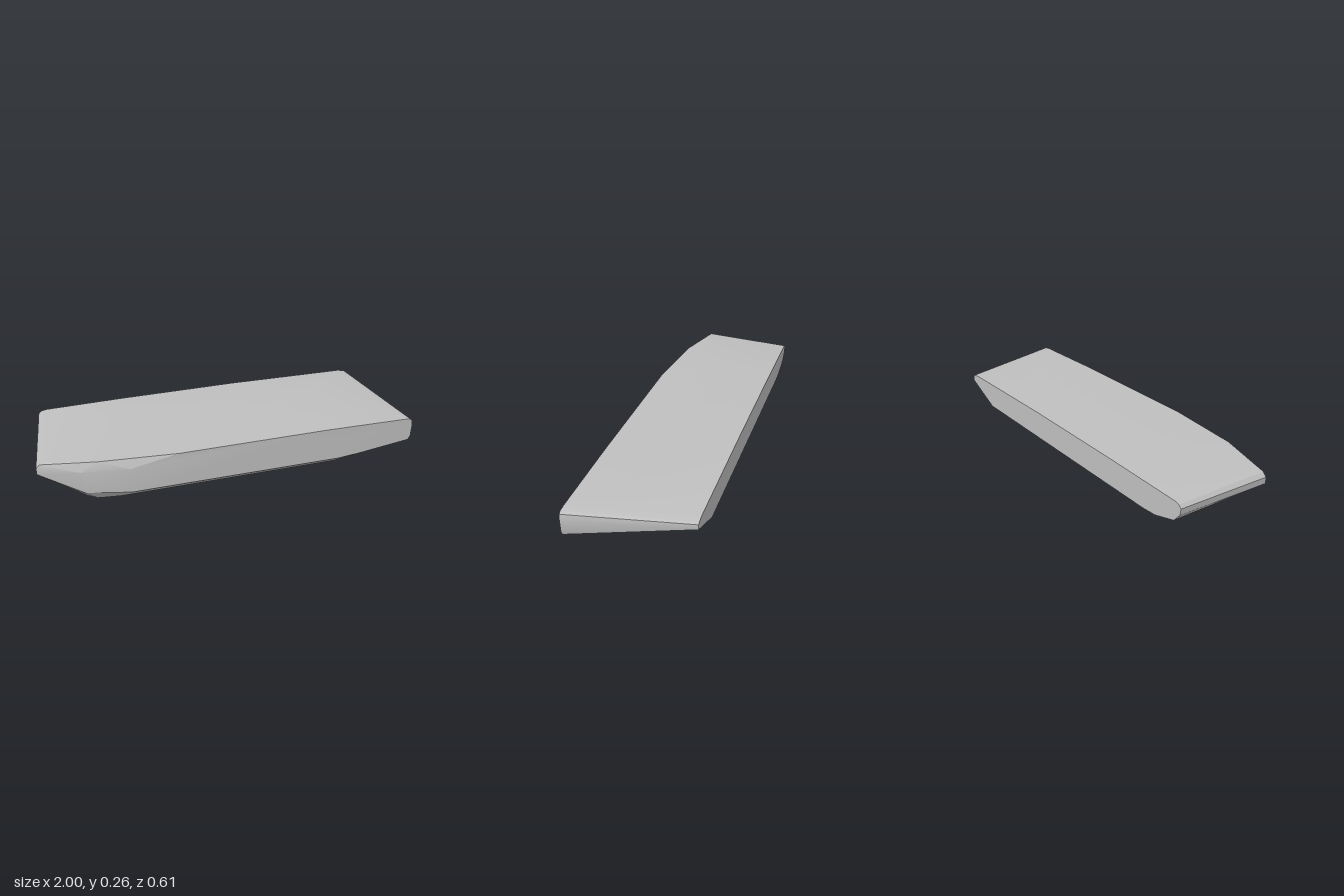
import * as THREE from 'three';
import { ConvexGeometry } from 'three/addons/geometries/ConvexGeometry.js';
import { toCreasedNormals } from 'three/addons/utils/BufferGeometryUtils.js';

const DEPTH = 0.305; // half depth, front to back

// Outline of the straight front face, as [x, y]
const frontOutline = [
  [-0.3, 0.25], [0.5, 0.251], [0.95, 0.243], [0.985, 0.238], [0.995, 0.228],
  [1, 0.2], [1, 0.13], [0.99, 0.105], [0.7, 0.066], [0.58, 0.055],
  [-0.55, 0.056], [-0.55, 0.2],
];

// Outline of the straight back face, as [x, y]
const backOutline = [
  [-0.92, 0.246], [-0.5, 0.252], [0.15, 0.254], [0.82, 0.244], [0.86, 0.236], [0.87, 0.228],
  [0.87, 0.2], [0.66, 0.102], [-0.72, 0.102], [-0.8, 0.108], [-0.92, 0.145],
  [-0.955, 0.19], [-0.96, 0.225], [-0.945, 0.24],
];

// Swept corner at the front of the -x end, as [x, y, z]
const sweptCorner = [
  [-0.94, 0.243, 0.2], [-0.98, 0.236, 0.2], [-1, 0.215, 0.2], [-1, 0.18, 0.2],
  [-0.7, 0.249, 0.268], [-0.79, 0.2, 0.27], [-0.78, 0.066, 0.262],
];

// Flat underside and the slight crown of the top
const underside = [
  [0.69, 0, 0], [0.66, 0, 0.15], [0.58, 0, 0.25], [-0.6, 0, 0.25],
  [-0.72, 0, 0.235], [-0.77, 0, 0.2], [-0.7, 0, 0],
];
const crown = [[-0.5, 0.257, -0.04], [0.15, 0.26, -0.04], [0.55, 0.256, -0.04]];

export function createModel() {
  const grey = new THREE.MeshStandardMaterial({ color: 0xbfbfbf });
  grey.name = 'plain grey';

  const points = [
    ...frontOutline.map(([x, y]) => [x, y, DEPTH]),
    ...backOutline.map(([x, y]) => [x, y, -DEPTH]),
    ...sweptCorner, ...underside, ...crown,
  ].map((p) => new THREE.Vector3(...p));

  // One closed faceted body, smoothed over its gentle edges only
  const body = new THREE.Mesh(toCreasedNormals(new ConvexGeometry(points), 0.4), grey);
  body.name = 'body';

  const group = new THREE.Group();
  group.name = 'taperedSlab';
  group.add(body);
  return group;
}
